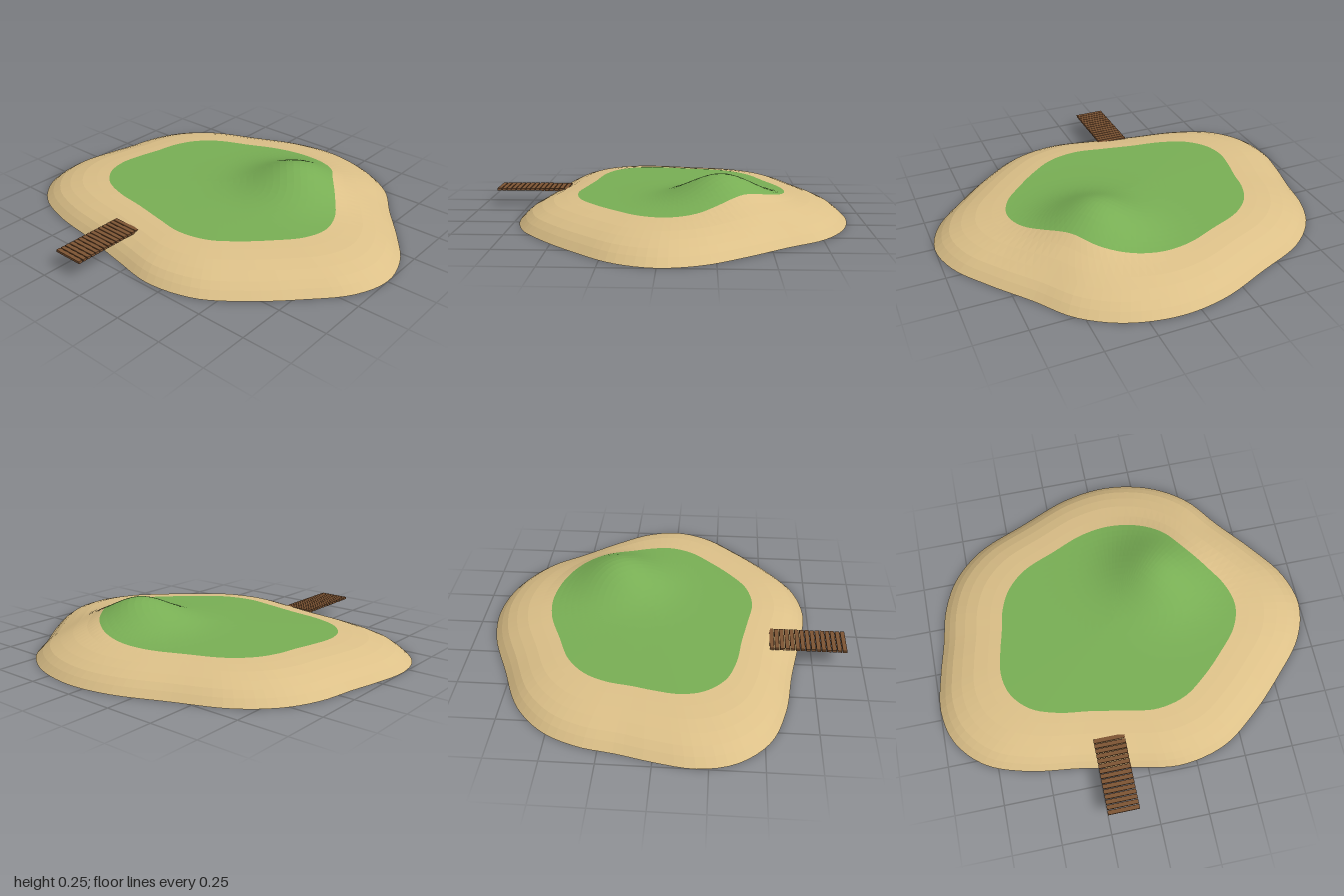
import * as THREE from 'three';

const SEGMENTS = 120;
const CENTRE = { x: -0.03, z: -0.06 };
const GRASS_EDGE = 0.64;

// Shoreline, running counter-clockwise seen from above
const SHORE = [
  [1.0, 0], [0.957, -0.19], [0.834, -0.374], [0.674, -0.572], [0.54, -0.75],
  [0.353, -0.87], [0.11, -0.923], [-0.13, -0.893], [-0.396, -0.786], [-0.663, -0.668],
  [-0.82, -0.52], [-0.9, -0.35], [-0.936, -0.16], [-0.973, 0], [-1.0, 0.2],
  [-0.957, 0.374], [-0.82, 0.524], [-0.61, 0.604], [-0.34, 0.645], [-0.075, 0.695],
  [0.166, 0.732], [0.406, 0.68], [0.594, 0.55], [0.78, 0.374], [0.94, 0.187],
];

// Beach profile: [fraction of the way to the shore, height]
const BEACH = [[1, 0], [0.96, 0.034], [0.92, 0.06], [0.86, 0.083], [0.79, 0.102], [0.71, 0.113], [GRASS_EDGE, 0.12]];

// Meadow profile: gently rising rings to the middle
const MEADOW = [];
for (let i = 0; i <= 16; i++) {
  const t = GRASS_EDGE * (1 - i / 16);
  MEADOW.push([t, 0.12 + 0.01 * (1 - t / GRASS_EDGE)]);
}

// Rounded hill added on top of the ground
function hill(x, z) {
  const d2 = (x - 0.26) ** 2 + (z + 0.285) ** 2;
  return 0.13 * Math.exp(-d2 / (2 * 0.165 ** 2));
}

// Rings of the shoreline, scaled towards the centre and joined into a surface
function terrain(shore, profile) {
  const positions = [];
  const index = [];
  profile.forEach(([t, height]) => {
    for (const p of shore) {
      const x = CENTRE.x + (p.x - CENTRE.x) * t;
      const z = CENTRE.z + (p.z - CENTRE.z) * t;
      const fade = Math.min(1, (1 - t) / 0.2);
      positions.push(x, height + hill(x, z) * fade, z);
    }
  });
  const n = shore.length;
  for (let r = 0; r < profile.length - 1; r++) {
    for (let i = 0; i < n; i++) {
      const j = (i + 1) % n;
      const a = r * n + i, b = r * n + j, c = a + n, d = b + n;
      index.push(a, b, c);
      if (profile[r + 1][0] > 0) index.push(b, d, c);
    }
  }
  const geometry = new THREE.BufferGeometry();
  geometry.setAttribute('position', new THREE.Float32BufferAttribute(positions, 3));
  geometry.setIndex(index);
  geometry.computeVertexNormals();
  return geometry;
}

function material(name, color, extra = {}) {
  const m = new THREE.MeshStandardMaterial({ color, ...extra });
  m.name = name;
  return m;
}

export function createModel() {
  const group = new THREE.Group();
  group.name = 'island';
  const ground = { side: THREE.DoubleSide, flatShading: true };
  const sand = material('sand', 0xdcc088, ground);
  const grass = material('grass', 0x78ae54, ground);
  const wood = material('wood', 0x7d5433);

  const curve = new THREE.CatmullRomCurve3(SHORE.map(([x, z]) => new THREE.Vector3(x, 0, z)), true);
  const shore = curve.getSpacedPoints(SEGMENTS).slice(0, SEGMENTS);

  const beach = new THREE.Mesh(terrain(shore, BEACH), sand);
  beach.name = 'beach';
  const meadow = new THREE.Mesh(terrain(shore, MEADOW), grass);
  meadow.name = 'meadow';
  group.add(beach, meadow);

  // Dock of separate planks
  const dock = new THREE.Group();
  dock.name = 'dock';
  const count = 15, start = 0.53, pitch = (0.917 - start) / count;
  const plankGeometry = new THREE.BoxGeometry(0.16, 0.012, pitch * 0.84);
  for (let i = 0; i < count; i++) {
    const plank = new THREE.Mesh(plankGeometry, wood);
    plank.name = 'plank';
    plank.position.set(-0.17, 0.094, start + pitch * (i + 0.5));
    dock.add(plank);
  }
  group.add(dock);
  return group;
}
